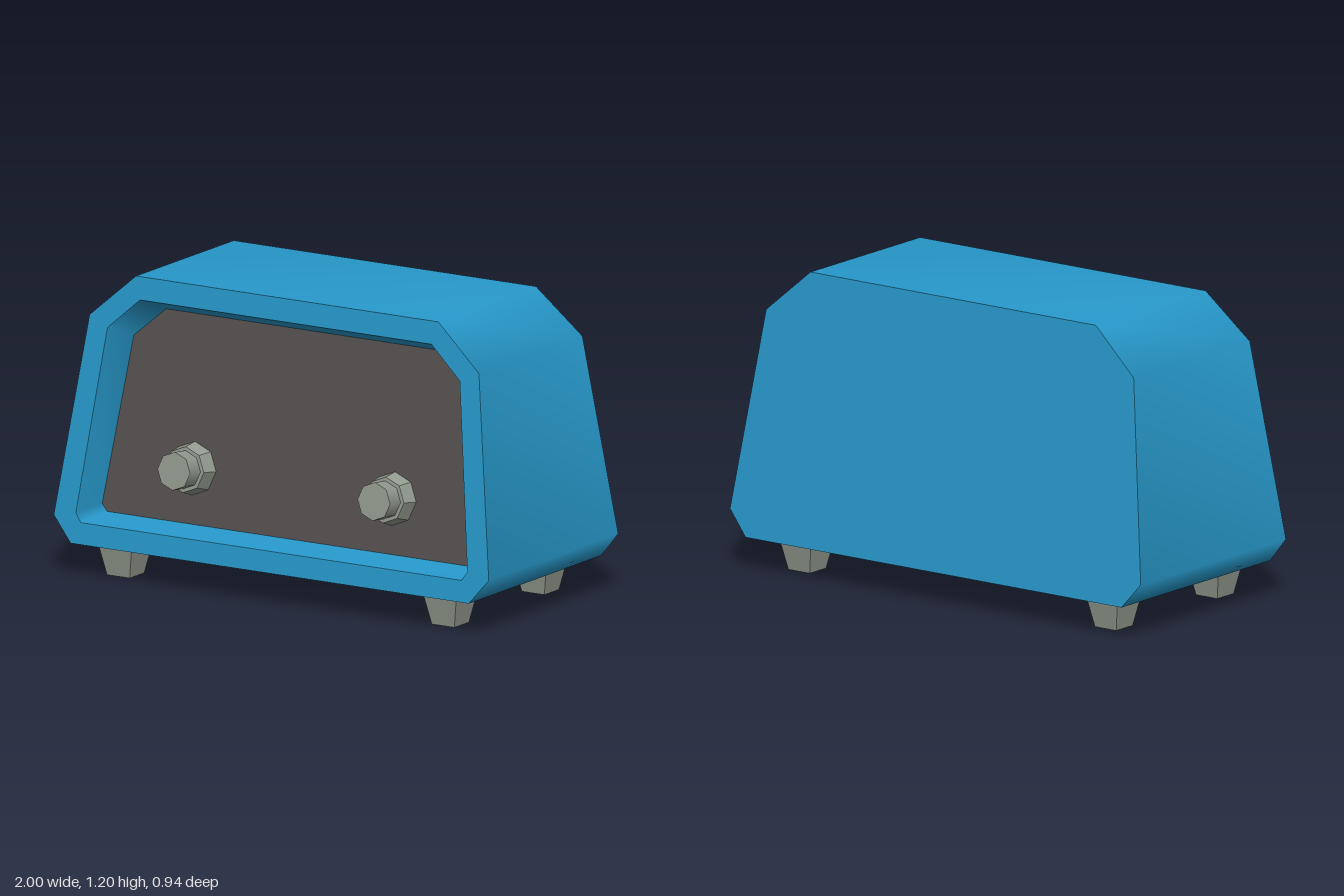
import * as THREE from 'three';

const SLOPE = 0.117; // lean of the front and back faces
const TILT = Math.atan(SLOPE);
const faceZ = (y) => 0.472 - SLOPE * (y - 0.13);

// Mirrors a right-hand profile (top to bottom) into a closed counter-clockwise outline.
const outline = (half) => [
  ...half.map(([x, y]) => [-x, y]),
  ...half.slice().reverse(),
];

// Places an outline on the leaning front (side 1) or back (side -1), pushed in by depth.
const place = (pts, side, depth = 0) =>
  pts.map(([x, y]) => [x, y, side * (faceZ(y + SLOPE * depth) - depth)]);

function geometry(points, index) {
  const g = new THREE.BufferGeometry();
  g.setAttribute('position', new THREE.Float32BufferAttribute(points.flat(), 3));
  g.setIndex(index);
  g.computeVertexNormals();
  return g;
}

// Band of quads joining two loops of the same length.
function band(a, b) {
  const n = a.length, index = [];
  for (let i = 0; i < n; i++) {
    const j = (i + 1) % n;
    index.push(i, j, n + j, i, n + j, n + i);
  }
  return geometry([...a, ...b], index);
}

// Flat convex panel.
function panel(loop, flip = false) {
  const index = [];
  for (let i = 1; i < loop.length - 1; i++) index.push(0, ...(flip ? [i + 1, i] : [i, i + 1]));
  return geometry(loop, index);
}

function faceted(g) {
  const flat = g.toNonIndexed();
  flat.computeVertexNormals();
  return flat;
}

export function createModel() {
  const material = (name, color) => {
    const m = new THREE.MeshStandardMaterial({ color });
    m.name = name;
    return m;
  };
  const blue = material('blue casing', 0x2798ca);
  const dark = material('dark screen', 0x565150);
  const grey = material('grey fittings', 0x949b8f);

  const model = new THREE.Group();
  model.name = 'monitor';
  const add = (parent, name, geo, mat) => {
    const mesh = new THREE.Mesh(geo, mat);
    mesh.name = name;
    parent.add(mesh);
    return mesh;
  };

  // Casing with a recessed, leaning front
  const outer = outline([[0.695, 1.195], [0.895, 1.02], [1.0, 0.23], [0.915, 0.13]]);
  const inner = outline([[0.67, 1.105], [0.81, 0.98], [0.9, 0.25], [0.875, 0.215]]);
  const deep = outline([[0.63, 1.05], [0.77, 0.93], [0.865, 0.265], [0.84, 0.237]]);
  const front = place(outer, 1), back = place(outer, -1);
  const rim = place(inner, 1), screen = place(deep, 1, 0.13);

  add(model, 'casingShell', band(back, front), blue);
  add(model, 'casingBack', panel(back, true), blue);
  add(model, 'frontRim', band(front, rim), blue);
  add(model, 'recessWalls', band(rim, screen), blue);
  add(model, 'screen', panel(screen), dark);

  // Knobs: an eight-sided collar and a narrower cap, square to the screen
  for (const side of [-1, 1]) {
    const knob = new THREE.Group();
    knob.name = side > 0 ? 'leftKnob' : 'rightKnob';
    const collar = add(knob, 'knobCollar', faceted(new THREE.CylinderGeometry(0.09, 0.105, 0.065, 8)), grey);
    collar.position.y = 0.0325;
    const cap = add(knob, 'knobCap', new THREE.CylinderGeometry(0.075, 0.075, 0.08, 8), grey);
    cap.position.y = 0.1;
    knob.position.set(side * 0.46, 0.453, faceZ(0.453) - 0.131);
    knob.rotation.x = Math.PI / 2 - TILT;
    model.add(knob);
  }

  // Four tapered feet
  const footGeo = faceted(new THREE.CylinderGeometry(0.11, 0.0735, 0.13, 4).rotateY(Math.PI / 4));
  for (const x of [-0.755, 0.738]) {
    for (const z of [0.328, -0.312]) {
      add(model, 'foot', footGeo, grey).position.set(x, 0.065, z);
    }
  }
  return model;
}
